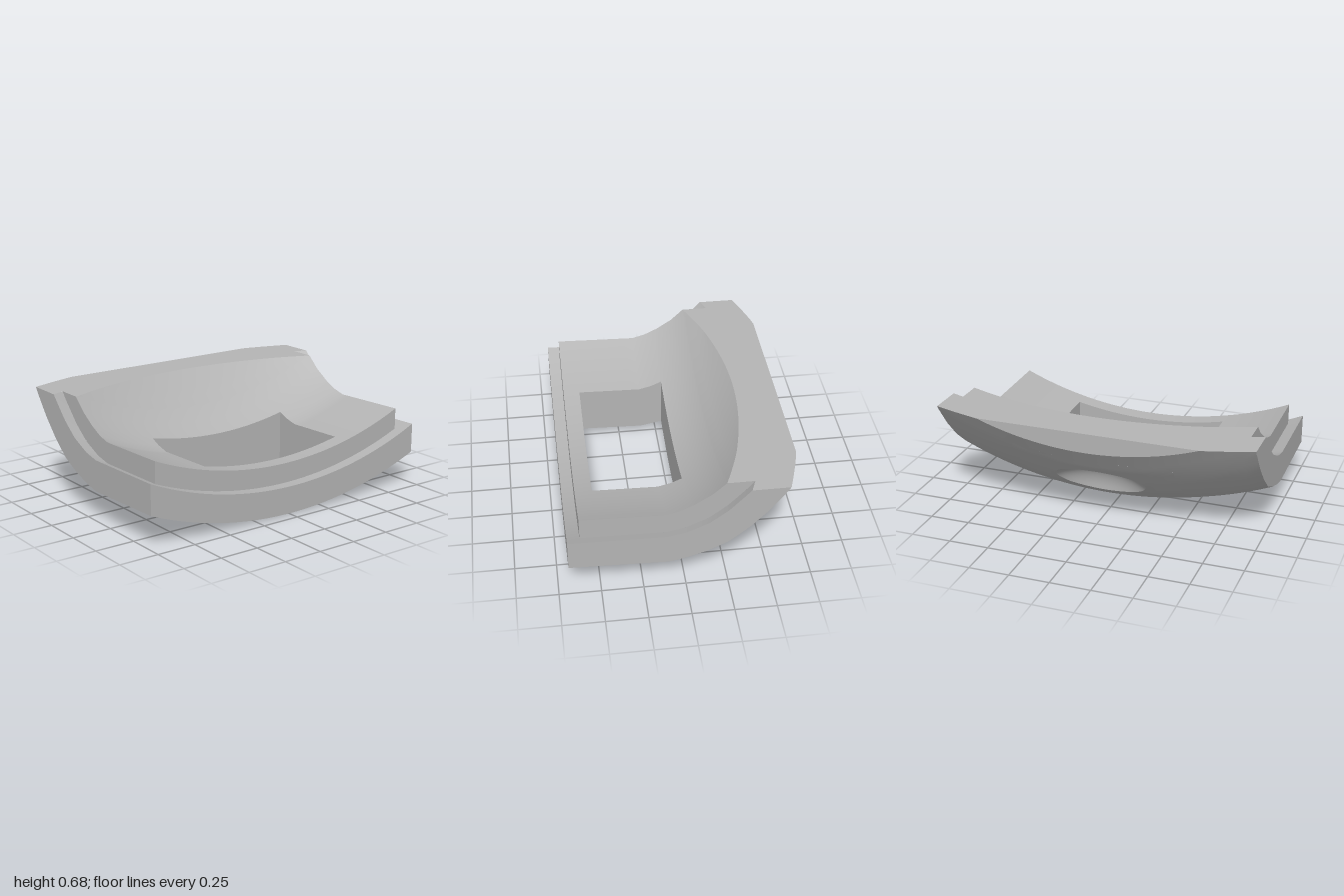
import * as THREE from 'three';
import { toCreasedNormals } from 'three/addons/utils/BufferGeometryUtils.js';

const AXIS = 2.6;            // height of the axis the cross-arcs are centred on
const TOP = 0.685, BACK = -0.685, FRONT = 0.685;
const PAD = { x: 0.92, z: 0.61 };
const WIN = { x: 0.505, z0: -0.04, z1: 0.505 };
const DIMPLE = { x: 0.29, z: 0.115, cz: -0.435, depth: 0.09 };
const RING = { x: WIN.x, z0: -0.62, z1: -0.25 };  // field around the dimple

// Centre-line profiles as [z, y], from front to back
const outer = [[0.69, 0.012], [0.1, -0.006], [0, 0.013], [-0.125, 0.05], [-0.25, 0.105],
  [-0.365, 0.192], [-0.475, 0.297], [-0.575, 0.415], [-0.69, 0.57], [-0.8, 0.74]];
const ledge = [[0.69, 0.183], [0.107, 0.172], [0, 0.192], [-0.133, 0.245], [-0.244, 0.321],
  [-0.37, 0.44], [-0.5, 0.59], [-0.8, 0.99]];
const inner = [[0.69, 0.307], [0.107, 0.292], [0.026, 0.312], [-0.06, 0.349], [-0.16, 0.408],
  [-0.24, 0.476], [-0.34, 0.578], [-0.43, 0.685], [-0.8, 1.15]];

const lerp = THREE.MathUtils.lerp;
const V = (x, y, z) => new THREE.Vector3(x, y, z);

// Height of a curved surface: the profile swung around the long axis
function height(profile, x, z) {
  let i = 0;
  while (i < profile.length - 2 && z < profile[i + 1][0]) i++;
  const [a, b] = [profile[i], profile[i + 1]];
  const r = AXIS - lerp(a[1], b[1], (z - a[0]) / (b[0] - a[0]));
  return AXIS - Math.sqrt(r * r - x * x);
}
const on = (profile, x, z) => V(x, height(profile, x, z), z);

// Where a surface meets the flat top or the flat back
function endZ(profile, x) {
  if (height(profile, x, BACK) < TOP) return BACK;
  let lo = BACK, hi = 0;
  for (let i = 0; i < 40; i++) {
    const mid = (lo + hi) / 2;
    if (height(profile, x, mid) > TOP) lo = mid; else hi = mid;
  }
  return hi;
}

// Sorted break values between a and b, including given stops
function breaks(a, b, step, stops = []) {
  const all = [a, b, ...stops.filter((s) => s > a && s < b)].sort((p, q) => p - q);
  const out = [a];
  for (let i = 1; i < all.length; i++) {
    const n = Math.max(1, Math.round((all[i] - all[i - 1]) / step));
    for (let k = 1; k <= n; k++) out.push(lerp(all[i - 1], all[i], k / n));
  }
  return out;
}

// Collects triangles and turns each one towards its outward direction
class Skin {
  constructor() { this.pos = []; }
  tri(a, b, c, out) {
    const n = b.clone().sub(a).cross(c.clone().sub(a));
    if (n.length() < 1e-8) return;
    const list = n.dot(out) < 0 ? [a, c, b] : [a, b, c];
    list.forEach((p) => this.pos.push(p.x, p.y, p.z));
  }
  quad(a, b, c, d, out) { this.tri(a, b, c, out); this.tri(a, c, d, out); }
  strip(rowA, rowB, out) {
    for (let i = 0; i < rowA.length - 1; i++) this.quad(rowA[i], rowA[i + 1], rowB[i + 1], rowB[i], out);
  }
  field(profile, xs, zs, keep, out) {
    const ends = xs.map((x) => endZ(profile, x));
    const at = (i, z) => on(profile, xs[i], Math.max(z, ends[i]));
    for (let i = 0; i < xs.length - 1; i++) for (let j = 0; j < zs.length - 1; j++) {
      if (!keep((xs[i] + xs[i + 1]) / 2, (zs[j] + zs[j + 1]) / 2)) continue;
      this.quad(at(i, zs[j]), at(i + 1, zs[j]), at(i + 1, zs[j + 1]), at(i, zs[j + 1]), out);
    }
  }
  mesh(name, material) {
    const g = new THREE.BufferGeometry();
    g.setAttribute('position', new THREE.Float32BufferAttribute(this.pos, 3));
    const m = new THREE.Mesh(toCreasedNormals(g, 0.5), material);
    m.name = name;
    return m;
  }
}

export function createModel() {
  const group = new THREE.Group();
  group.name = 'curvedPlate';
  const grey = new THREE.MeshStandardMaterial({ color: 0xb4b4b4 });
  grey.name = 'plain grey';

  const up = V(0, 1, 0), down = V(0, -1, 0), front = V(0, 0, 1), back = V(0, 0, -1);
  const inWindow = (x, z) => Math.abs(x) < WIN.x && z > WIN.z0 && z < WIN.z1;
  const inRing = (x, z) => Math.abs(x) < RING.x && z > RING.z0 && z < RING.z1;
  const inPad = (x, z) => Math.abs(x) < PAD.x && z < PAD.z;
  const xStops = [-PAD.x, -0.63, -WIN.x, WIN.x, 0.63, PAD.x];
  const zStops = (p) => [...p.map((q) => q[0]), WIN.z0, WIN.z1, RING.z0, RING.z1, PAD.z];
  const xs = breaks(-1, 1, 0.06, xStops);
  const padXs = breaks(-PAD.x, PAD.x, 0.06, xStops);
  const winXs = breaks(-WIN.x, WIN.x, 0.06);

  // Edge line of a surface at fixed x, from zFront to where it ends
  const sideLine = (p, x, zFront) =>
    Array.from({ length: 41 }, (_, i) => on(p, x, lerp(zFront, endZ(p, x), i / 40)));
  const rimLine = (p, list) => list.map((x) => V(x, TOP, endZ(p, x)));

  // Outer shell with its stepped ledge
  const shell = new Skin();
  shell.field(outer, xs, breaks(BACK, FRONT, 0.06, zStops(outer)),
    (x, z) => !inWindow(x, z) && !inRing(x, z), down);
  shell.field(ledge, xs, breaks(BACK, FRONT, 0.06, zStops(ledge)), (x, z) => !inPad(x, z), up);
  shell.strip(xs.map((x) => on(outer, x, FRONT)), xs.map((x) => on(ledge, x, FRONT)), front);
  for (const s of [-1, 1]) {
    shell.strip(sideLine(outer, s, FRONT), sideLine(ledge, s, FRONT), V(s, 0, 0));
    const corner = breaks(PAD.x, 1, 0.04).map((x) => x * s);
    shell.strip(rimLine(outer, corner), rimLine(ledge, corner), up);
  }
  // Flat top and flat back
  shell.strip(rimLine(outer, padXs), rimLine(inner, padXs), up);
  const backEdge = xs.map((x) => on(outer, x, endZ(outer, x)));
  shell.strip(backEdge, backEdge.map((p) => V(p.x, TOP, p.z)), back);

  // Surface around the dimple, blended from a rectangle to an ellipse
  const dimple = new Skin();
  const square = [];
  for (let side = 0; side < 4; side++) for (let k = 0; k < 16; k++) {
    const p = new THREE.Vector2(1, lerp(-1, 1, k / 16));
    square.push(p.rotateAround(new THREE.Vector2(), side * Math.PI / 2));
  }
  square.push(square[0]);
  const ringRow = (k) => square.map((p) => {
    const e = p.clone().normalize();
    const x = lerp(e.x * DIMPLE.x, p.x * RING.x, k);
    const z = lerp(DIMPLE.cz + e.y * DIMPLE.z, lerp(RING.z0, RING.z1, (p.y + 1) / 2), k);
    return on(outer, x, z);
  });
  for (let k = 0; k < 5; k++) shell.strip(ringRow(k / 5), ringRow((k + 1) / 5), down);
  // Bowl of the dimple
  const bowlRow = (r) => square.map((p) => {
    const e = p.clone().normalize();
    const q = on(outer, e.x * DIMPLE.x * r, DIMPLE.cz + e.y * DIMPLE.z * r);
    const d = DIMPLE.depth * (1 - r * r) * Math.SQRT1_2;
    return q.add(V(0, d, d));
  });
  for (let k = 0; k < 8; k++) dimple.strip(bowlRow(k / 8), bowlRow((k + 1) / 8), V(0, -1, -1));

  // Raised inner pad
  const pad = new Skin();
  pad.field(inner, padXs, breaks(BACK, PAD.z, 0.06, zStops(inner)), (x, z) => !inWindow(x, z), up);
  pad.strip(padXs.map((x) => on(ledge, x, PAD.z)), padXs.map((x) => on(inner, x, PAD.z)), front);
  for (const s of [-1, 1]) {
    pad.strip(sideLine(ledge, s * PAD.x, PAD.z), sideLine(inner, s * PAD.x, PAD.z), V(s, 0, 0));
  }

  // Straight walls of the rectangular window
  const walls = new Skin();
  for (const [z, out] of [[WIN.z0, front], [WIN.z1, back]]) {
    walls.strip(winXs.map((x) => on(outer, x, z)), winXs.map((x) => on(inner, x, z)), out);
  }
  const winZs = breaks(WIN.z0, WIN.z1, 0.05, [0, 0.026, 0.1, 0.107]);
  for (const s of [-1, 1]) {
    const line = (p) => winZs.map((z) => on(p, s * WIN.x, z));
    walls.strip(line(outer), line(inner), V(-s, 0, 0));
  }

  group.add(shell.mesh('outerShell', grey), dimple.mesh('dimple', grey),
    pad.mesh('raisedPad', grey), walls.mesh('windowWalls', grey));
  return group;
}
